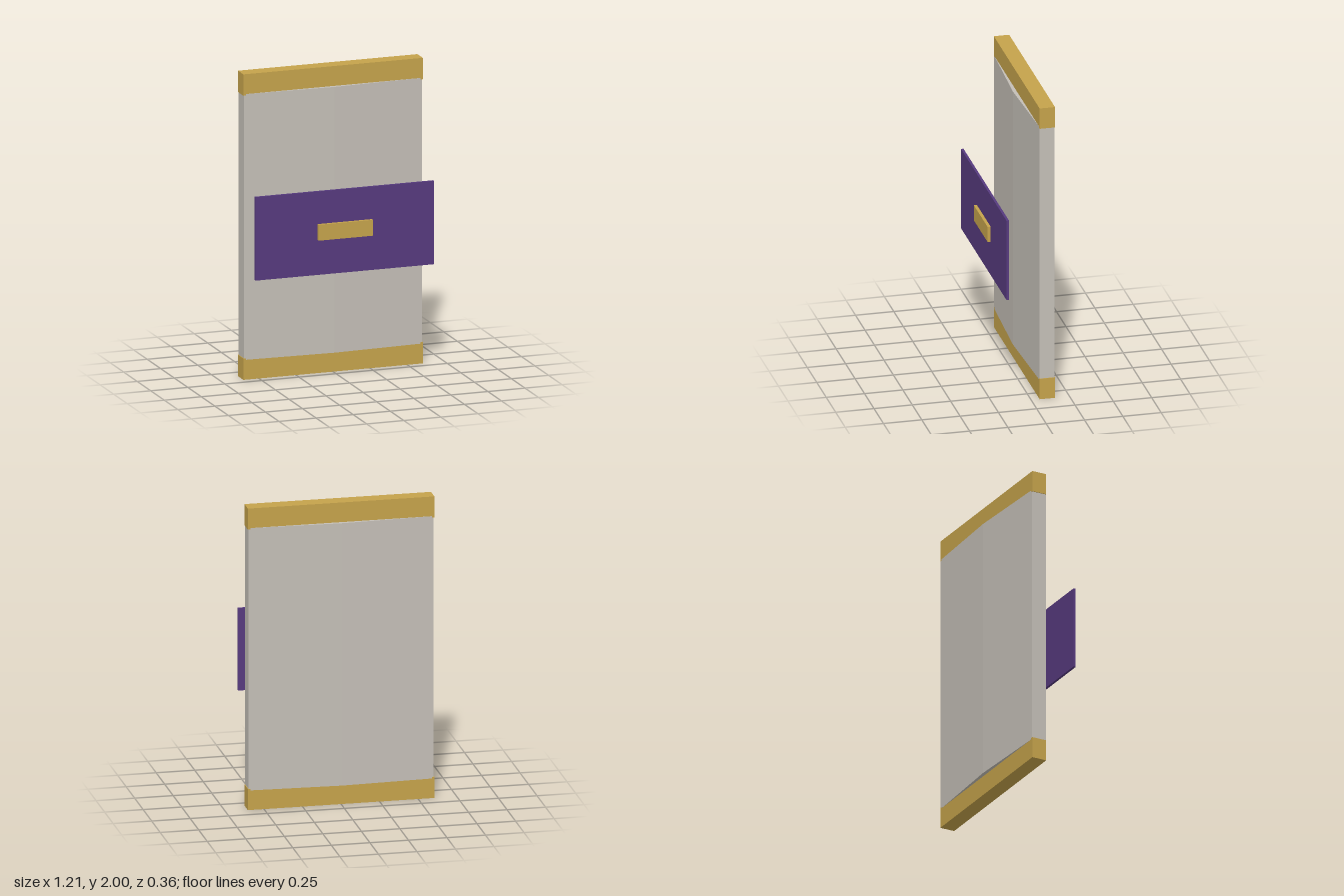
import * as THREE from 'three';

const material = (name, color) => {
  const m = new THREE.MeshStandardMaterial({ color });
  m.name = name;
  return m;
};

export function createModel() {
  const gold = material('gold', 0xc4a24b);
  const stone = material('warm grey', 0xc3beb6);
  const purple = material('purple', 0x563a7e);

  const model = new THREE.Group();
  model.name = 'framedPanel';

  const add = (name, geometry, mat, x, y, z) => {
    const mesh = new THREE.Mesh(geometry, mat);
    mesh.name = name;
    mesh.position.set(x, y, z);
    model.add(mesh);
  };

  const centreZ = -0.105;

  // Panel: six-sided cross-section, thickest along the middle
  const outline = [[-0.6, -0.0495], [0, -0.075], [0.6, -0.0495], [0.6, 0.0495], [0, 0.075], [-0.6, 0.0495]];
  const section = new THREE.Shape(outline.map(([x, y]) => new THREE.Vector2(x, y)));
  const panel = new THREE.ExtrudeGeometry(section, { depth: 1.74, bevelEnabled: false });
  panel.rotateX(-Math.PI / 2);
  add('panel', panel, stone, 0, 0.13, centreZ);

  // Matching end bars
  for (const [name, y] of [['bottomBar', 0.07], ['topBar', 1.93]]) {
    add(name, new THREE.BoxGeometry(1.21, 0.14, 0.1), gold, 0, y, centreZ);
  }

  // Floating band with a raised plaque
  add('band', new THREE.BoxGeometry(1.204, 0.546, 0.016), purple, 0, 0.975, 0.152);
  add('plaque', new THREE.BoxGeometry(0.366, 0.104, 0.02), gold, 0, 0.983, 0.17);

  return model;
}
